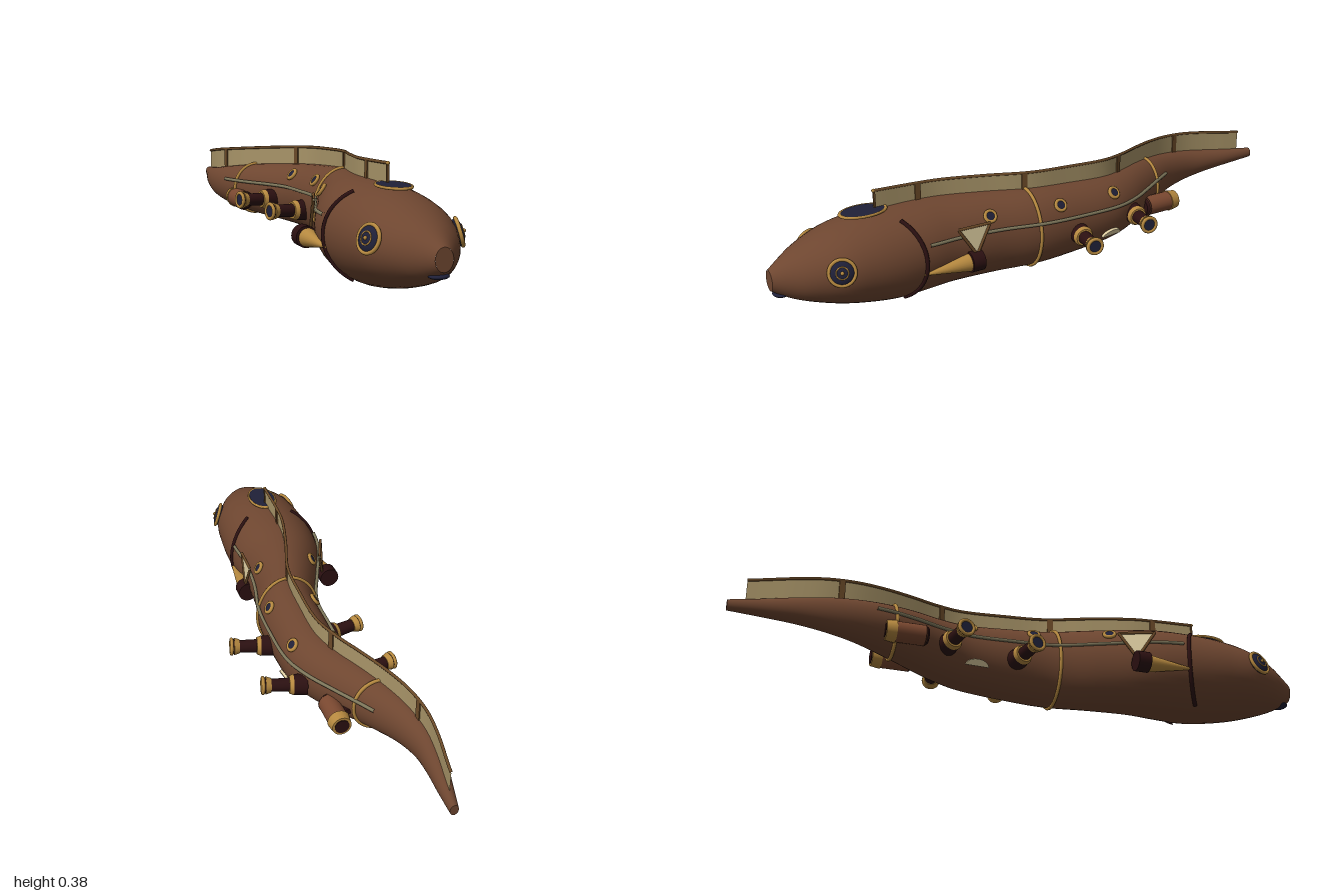
import * as THREE from 'three';

const paint = (name, color, side = THREE.FrontSide) => {
  const m = new THREE.MeshStandardMaterial({ color, side });
  m.name = name;
  return m;
};

// body sections: z, centre x, centre y, half width, half height
const ROWS = [
  [1, -0.073, 0.155, 0.028, 0.035], [0.95, -0.073, 0.155, 0.066, 0.066], [0.9, -0.073, 0.157, 0.102, 0.09],
  [0.8, -0.073, 0.16, 0.147, 0.124], [0.7, -0.073, 0.159, 0.161, 0.145], [0.6, -0.073, 0.156, 0.165, 0.155],
  [0.5, -0.073, 0.157, 0.16, 0.155], [0.4, -0.067, 0.158, 0.145, 0.151], [0.25, -0.033, 0.158, 0.12, 0.144],
  [0.1, 0.008, 0.158, 0.106, 0.136], [-0.05, 0.014, 0.158, 0.104, 0.126], [-0.2, 0.008, 0.158, 0.101, 0.114],
  [-0.3, -0.025, 0.158, 0.098, 0.106], [-0.4, -0.075, 0.158, 0.09, 0.097], [-0.5, -0.122, 0.157, 0.076, 0.085],
  [-0.6, -0.157, 0.156, 0.057, 0.071], [-0.7, -0.172, 0.155, 0.043, 0.057], [-0.8, -0.166, 0.156, 0.035, 0.042],
  [-0.9, -0.15, 0.157, 0.025, 0.029], [-1, -0.135, 0.158, 0.014, 0.018],
];
const FIN_TOP = [[0.635, 0.375], [0.12, 0.352], [-0.28, 0.327], [-0.65, 0.288], [-0.945, 0.25]];

// smooth interpolation through table rows ordered by falling z
function sample(rows, z, k) {
  let i = 0;
  while (i < rows.length - 2 && z < rows[i + 1][0]) i++;
  const slope = (n) => {
    const a = rows[Math.max(n - 1, 0)], b = rows[Math.min(n + 1, rows.length - 1)];
    return (b[k] - a[k]) / (b[0] - a[0]);
  };
  const p = rows[i], q = rows[i + 1], d = q[0] - p[0], t = (z - p[0]) / d, t2 = t * t, t3 = t2 * t;
  return (2 * t3 - 3 * t2 + 1) * p[k] + (t3 - 2 * t2 + t) * d * slope(i)
    + (3 * t2 - 2 * t3) * q[k] + (t3 - t2) * d * slope(i + 1);
}
const at = (z, k) => sample(ROWS, z, k);
// point on the hull at angle a, lifted outward
const hull = (z, a, lift = 0) => new THREE.Vector3(
  at(z, 1) + Math.cos(a) * (at(z, 3) + lift), at(z, 2) + Math.sin(a) * (at(z, 4) + lift), z);
// hull angle at height y on side s (+1 left, -1 right)
const angleAt = (z, y, s) => {
  const a = Math.asin(THREE.MathUtils.clamp((y - at(z, 2)) / at(z, 4), -1, 1));
  return s > 0 ? a : Math.PI - a;
};

// grid of points joined into a surface
function loft(rows, closed) {
  const n = rows[0].length, idx = [];
  for (let i = 0; i < rows.length - 1; i++) for (let j = 0; j < (closed ? n : n - 1); j++) {
    const a = i * n + j, b = i * n + (j + 1) % n, c = a + n, d = b + n;
    idx.push(a, c, b, b, c, d);
  }
  const g = new THREE.BufferGeometry().setFromPoints(rows.flat());
  g.setIndex(idx);
  g.computeVertexNormals();
  return g;
}

export function createModel() {
  const model = new THREE.Group();
  const brown = paint('hull brown', 0x6e4630), gold = paint('brass', 0xb5883f), dark = paint('dark maroon', 0x2b1011),
    navy = paint('navy glass', 0x1f2038), cream = paint('cream', 0xe0cfa2, THREE.DoubleSide),
    finTan = paint('fin tan', 0xa89468, THREE.DoubleSide), pipeGrey = paint('pipe grey', 0x7d765a),
    copper = paint('copper', 0x7a4830), trim = paint('fin trim', 0x6b4a28);

  const add = (parent, name, geo, mat, x = 0, y = 0, z = 0) => {
    const m = new THREE.Mesh(geo, mat);
    m.name = name;
    m.position.set(x, y, z);
    parent.add(m);
    return m;
  };
  const group = (name, pos) => {
    const g = new THREE.Group();
    g.name = name;
    g.position.copy(pos);
    model.add(g);
    return g;
  };
  // group whose +z points out of the hull
  const mount = (name, z, y, s) => {
    const a = angleAt(z, y, s), e = 0.01, p = hull(z, a), g = group(name, p);
    const n = hull(z - e, a).sub(hull(z + e, a)).cross(hull(z, a + e).sub(hull(z, a - e))).normalize();
    g.lookAt(p.clone().add(n));
    return g;
  };
  // cylinder along z
  const rod = (r1, r0, len, seg = 24) => new THREE.CylinderGeometry(r1, r0, len, seg).rotateX(Math.PI / 2);
  const tube = (name, pts, r, mat, closed = false) => add(model, name,
    new THREE.TubeGeometry(new THREE.CatmullRomCurve3(pts, closed), pts.length * 2, r, 8, closed), mat);
  const steps = (n, f) => Array.from({ length: n + 1 }, (_, i) => f(i / n));

  // hull with end caps
  add(model, 'hull', loft(steps(100, (t) => steps(39, (u) => hull(1 - 2 * t, u * Math.PI * 2 * 39 / 40))), true), brown);
  add(model, 'noseCap', new THREE.CircleGeometry(1, 32), brown, -0.073, 0.155, 1).scale.set(0.028, 0.035, 1);
  const tail = add(model, 'tailCap', new THREE.CircleGeometry(1, 24), brown, -0.135, 0.158, -1);
  tail.rotation.y = Math.PI;
  tail.scale.set(0.014, 0.018, 1);

  // mouth
  add(model, 'mouth', new THREE.SphereGeometry(1, 24, 12), navy, -0.073, 0.104, 0.968).scale.set(0.031, 0.009, 0.025);

  // forehead window
  const win = group('foreheadWindow', new THREE.Vector3(-0.073, 0.314, 0.675));
  add(win, 'windowGlass', new THREE.CylinderGeometry(1, 1, 1, 40), navy).scale.set(0.045, 0.007, 0.074);
  const rim = add(win, 'windowRim', new THREE.TorusGeometry(1, 0.08, 8, 40).rotateX(Math.PI / 2), gold);
  rim.scale.set(0.048, 0.06, 0.077);

  // dorsal fin, its top rail and ribs
  const finZ = (t) => 0.635 - 1.58 * t;
  const finTop = (z) => new THREE.Vector3(at(z, 1), sample(FIN_TOP, z, 1), z);
  add(model, 'dorsalFin', loft(steps(60, (t) => {
    const z = finZ(t), top = finTop(z);
    return [new THREE.Vector3(top.x, at(z, 2) + at(z, 4) - 0.008, z), top];
  }), false), finTan);
  tube('finRail', steps(50, (t) => finTop(finZ(t))), 0.005, trim);
  for (const z of [0.633, 0.48, 0.12, -0.28, -0.65]) {
    const top = finTop(z), base = at(z, 2) + at(z, 4) - 0.01, w = z > 0.6 ? 0.006 : 0.02;
    const rib = add(model, 'finRib', new THREE.BoxGeometry(0.008, top.y - base, w), trim, top.x, (top.y + base) / 2, z);
    rib.rotation.y = Math.atan2(at(z + 0.02, 1) - at(z - 0.02, 1), 0.04);
  }
  add(model, 'finKnob', new THREE.SphereGeometry(0.006, 12, 8), gold, -0.073, 0.375, 0.635);

  // brass hoops
  for (const z of [0.12, -0.47])
    tube('hullHoop', steps(39, (t) => hull(z, t * Math.PI * 2 * 39 / 40, 0.002)), 0.006, gold, true);

  for (const s of [1, -1]) {
    // eye
    const eye = mount('eye', 0.815, 0.19, s);
    add(eye, 'eyeRim', new THREE.TorusGeometry(0.041, 0.006, 10, 36), gold, 0, 0, 0.004);
    add(eye, 'eyeGlass', new THREE.SphereGeometry(0.041, 28, 16), navy).scale.z = 0.42;
    add(eye, 'eyeInnerRing', new THREE.TorusGeometry(0.019, 0.0025, 8, 24), gold, 0, 0, 0.0145);
    add(eye, 'eyeStud', new THREE.SphereGeometry(0.006, 12, 8), gold, 0, 0, 0.018);

    // gill line
    tube('gill', steps(20, (t) => {
      const b = (t * 2 - 1) * 1.03;
      return hull(0.535 + 0.05 * (2 * t - 1) ** 2, s > 0 ? b : Math.PI - b, 0.001);
    }), 0.007, dark);

    // side pipe
    tube('sidePipe', steps(50, (t) => {
      const z = 0.52 - 1.06 * t;
      return hull(z, angleAt(z, 0.212 - 0.027 * t, s), 0.006);
    }), 0.006, pipeGrey);

    // portholes
    for (const [z, y] of [[0.285, 0.25], [0.035, 0.245], [-0.19, 0.237]]) {
      const port = mount('porthole', z, y, s);
      add(port, 'portholeRim', new THREE.TorusGeometry(0.018, 0.006, 10, 24), gold, 0, 0, 0.005);
      add(port, 'portholeGlass', rod(0.017, 0.017, 0.014), navy, 0, 0, 0.002);
    }

    // side cannons
    for (const [z, y] of [[-0.03, 0.137], [-0.28, 0.142]]) {
      const root = hull(z, angleAt(z, y, s)), gun = group('cannon', root);
      gun.lookAt(root.clone().add(new THREE.Vector3(s, 0.05, 0.2)));
      add(gun, 'cannonBase', rod(0.034, 0.036, 0.045), dark, 0, 0, 0.008);
      add(gun, 'cannonCollar', rod(0.029, 0.035, 0.014), gold, 0, 0, 0.037);
      add(gun, 'cannonBarrel', rod(0.021, 0.023, 0.07), dark, 0, 0, 0.075);
      add(gun, 'cannonFlare', rod(0.03, 0.024, 0.018), gold, 0, 0, 0.112);
      add(gun, 'cannonMuzzle', rod(0.026, 0.026, 0.01), dark, 0, 0, 0.126);
      add(gun, 'muzzleRim', new THREE.TorusGeometry(0.025, 0.006, 10, 28), gold, 0, 0, 0.13);
      add(gun, 'muzzleGlass', new THREE.CircleGeometry(0.022, 24), navy, 0, 0, 0.132);
    }

    // side pennant with a border
    const tri = [[0.418, 0.243], [0.302, 0.243], [0.355, 0.145]].map(([z, y]) =>
      new THREE.Vector3(at(z, 1) + s * (at(z, 3) + (y > 0.2 ? 0.004 : 0.012)), y, z));
    const plate = new THREE.BufferGeometry().setFromPoints(s > 0 ? tri : [tri[1], tri[0], tri[2]]);
    plate.setIndex([0, 2, 1]);
    plate.computeVertexNormals();
    add(model, 'pennant', plate, cream);
    tri.forEach((p, i) => tube('pennantBorder', [p, tri[(i + 1) % 3]], 0.005, trim));

    // forward drill cone on its dark mount
    const dx = -0.073 + s * 0.158;
    const cone = add(model, 'drillCone', rod(0.002, 0.031, 0.17), gold, dx, 0.12, 0.462);
    cone.rotation.y = s * 0.04;
    add(model, 'drillMount', rod(0.035, 0.035, 0.045), dark, dx, 0.122, 0.36);

    // belly scale
    const scale = mount('bellyScale', -0.17, 0.105, s);
    const half = new THREE.Shape().absellipse(0, 0, 0.04, 0.024, 0, Math.PI);
    add(scale, 'scalePlate', new THREE.ExtrudeGeometry(half, { depth: 0.009, bevelEnabled: false, curveSegments: 20 }),
      cream, 0, -0.01, 0);

    // tail engines
    const ex = -0.08 + s * 0.105;
    const pod = group('tailEngine', new THREE.Vector3(ex, 0.125, -0.44));
    add(pod, 'engineBody', rod(0.034, 0.034, 0.1), copper, 0, 0, 0.015);
    add(pod, 'engineFront', rod(0.026, 0.035, 0.012), dark, 0, 0, 0.067);
    add(pod, 'engineNozzle', rod(0.037, 0.032, 0.033), gold, 0, 0, -0.05);
    add(pod, 'engineExhaust', rod(0.024, 0.024, 0.006), dark, 0, 0, -0.066);
    add(pod, 'engineStrut', new THREE.BoxGeometry(0.05, 0.016, 0.05), dark, -s * 0.04, 0.01, 0.01);
  }
  return model;
}
